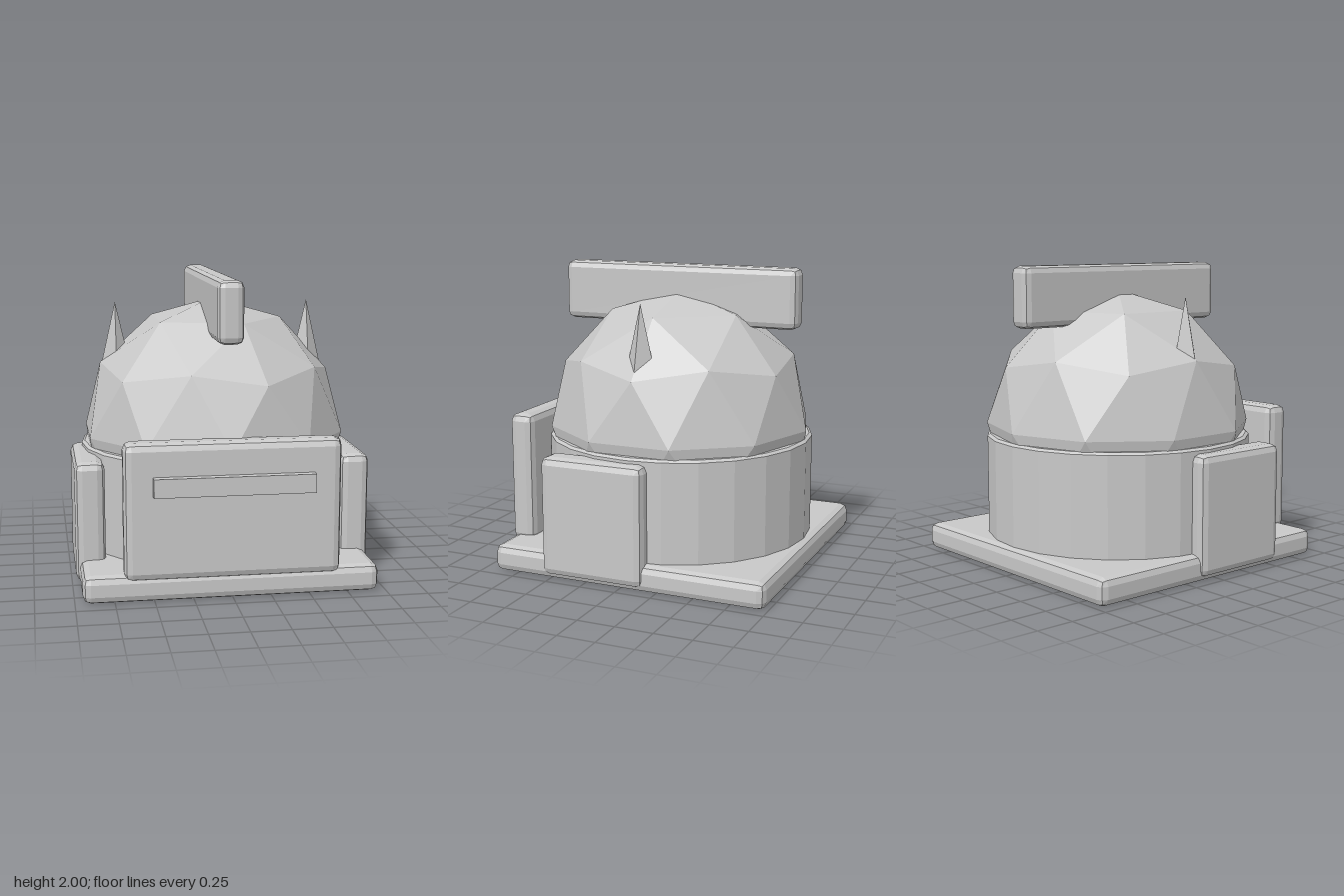
import * as THREE from 'three';
import { RoundedBoxGeometry } from 'three/addons/geometries/RoundedBoxGeometry.js';

const CENTRE_Z = -0.035;

export function createModel() {
  const model = new THREE.Group();
  model.name = 'helmet';
  const grey = new THREE.MeshStandardMaterial({ color: 0xc8c8c8 });
  grey.name = 'light grey';

  // Adds a faceted mesh: every face gets its own normal
  function add(name, geometry, x, y, z) {
    const faceted = geometry.index ? geometry.toNonIndexed() : geometry;
    faceted.computeVertexNormals();
    const mesh = new THREE.Mesh(faceted, grey);
    mesh.name = name;
    mesh.position.set(x, y, z);
    model.add(mesh);
    return mesh;
  }

  // Bevelled box given by its [min, max] range on each axis
  function bevelBox(name, [x0, x1], [y0, y1], [z0, z1], bevel) {
    const geometry = new RoundedBoxGeometry(x1 - x0, y1 - y0, z1 - z0, 1, bevel);
    add(name, geometry, (x0 + x1) / 2, (y0 + y1) / 2, (z0 + z1) / 2);
  }

  // Square base plate
  bevelBox('base', [-0.95, 0.95], [0, 0.18], [-0.985, 0.915], 0.05);

  // Round neck with a small chamfer at the rim
  const neckProfile = [[0, 0.1], [0.9, 0.1], [0.9, 0.845], [0.88, 0.86], [0, 0.86]]
    .map(([r, y]) => new THREE.Vector2(r, y));
  add('neck', new THREE.LatheGeometry(neckProfile, 24), 0, 0, CENTRE_Z);

  // Dome: icosahedron standing on a vertex, subdivided once
  const points = [0, 1, 0];
  const ringY = 1 / Math.sqrt(5);
  for (let ring = 0; ring < 2; ring++) {
    for (let i = 0; i < 5; i++) {
      const a = (i + ring / 2) * Math.PI * 0.4;
      points.push(2 * ringY * Math.cos(a), ring ? -ringY : ringY, 2 * ringY * Math.sin(a));
    }
  }
  points.push(0, -1, 0);
  const faces = [];
  for (let i = 0; i < 5; i++) {
    const j = (i + 1) % 5;
    faces.push(0, 1 + j, 1 + i);
    faces.push(1 + i, 1 + j, 6 + i);
    faces.push(1 + j, 6 + j, 6 + i);
    faces.push(11, 6 + i, 6 + j);
  }
  add('dome', new THREE.PolyhedronGeometry(points, faces, 0.9, 1), 0, 0.925, CENTRE_Z);

  // Crest running front to back
  bevelBox('crest', [-0.085, 0.085], [1.6, 2], [-0.875, 0.805], 0.045);

  // Face plate with its raised bar
  bevelBox('facePlate', [-0.69, 0.69], [0.14, 1.02], [0.76, 0.93], 0.05);
  add('faceBar', new THREE.BoxGeometry(1.02, 0.12, 0.1), 0, 0.75, 0.935);

  // Cheek plates and four-sided horns, one per side
  for (const [side, s] of [['left', 1], ['right', -1]]) {
    const xRange = s > 0 ? [0.78, 0.975] : [-0.975, -0.78];
    bevelBox(side + 'CheekPlate', xRange, [0.03, 0.825], [-0.175, 0.545], 0.05);
    add(side + 'Horn', new THREE.ConeGeometry(0.115, 0.5, 4), s * 0.66, 1.555, CENTRE_Z);
  }

  return model;
}
